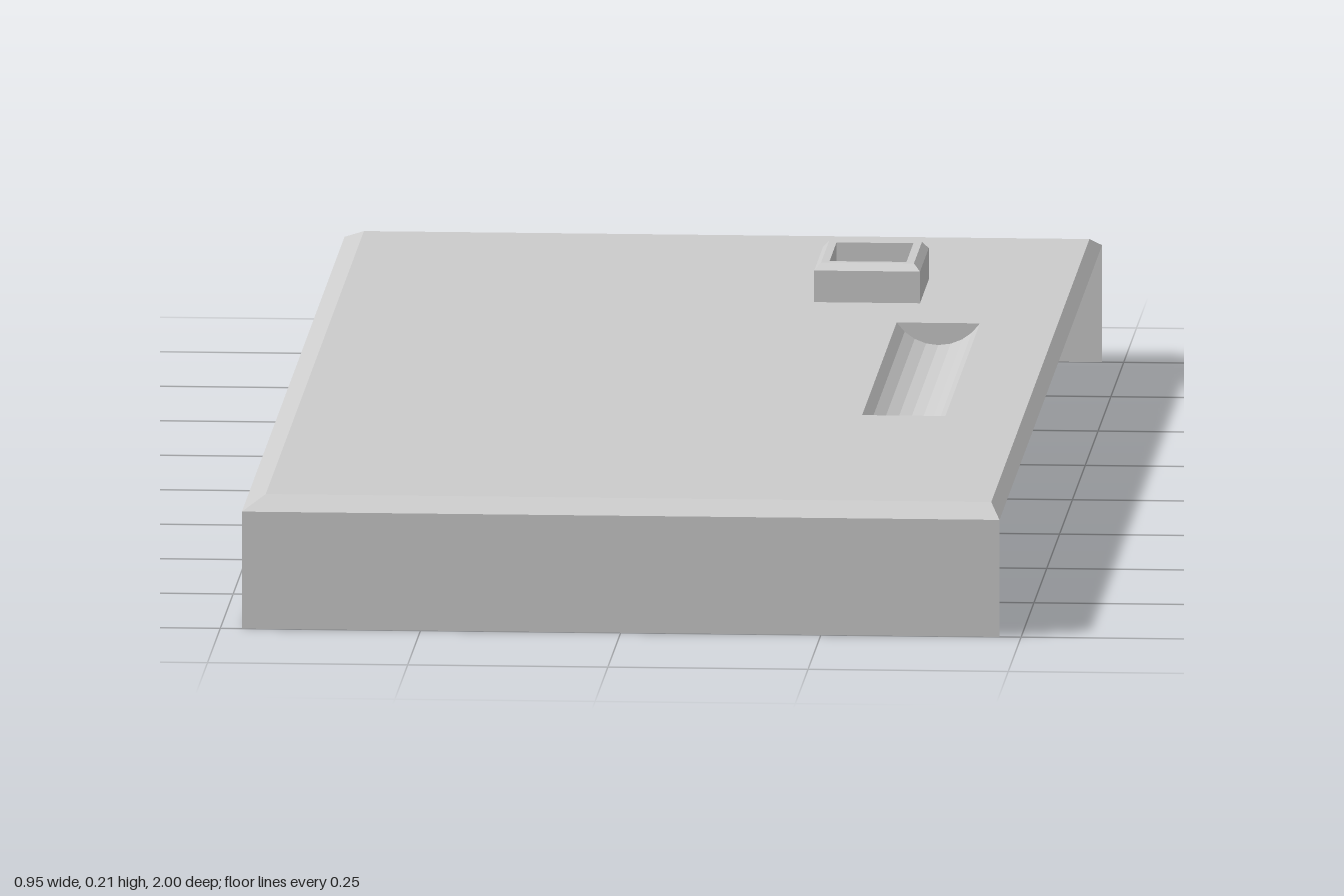
import * as THREE from 'three';

const material = new THREE.MeshStandardMaterial({ color: 0xcccccc, flatShading: true, side: THREE.DoubleSide });

// Rectangle of corners at height y, counter-clockwise from above, starting front
const ring = (x0, x1, z0, z1, y) => [[x0, y, z1], [x1, y, z1], [x1, y, z0], [x0, y, z0]];

// Joins two point rows with quads; skip leaves out one quad
function strip(low, high, { closed = true, skip = -1 } = {}) {
  const positions = [];
  const count = closed ? low.length : low.length - 1;
  for (let i = 0; i < count; i++) {
    if (i === skip) continue;
    const j = (i + 1) % low.length;
    for (const p of [low[i], low[j], high[j], low[i], high[j], high[i]]) positions.push(...p);
  }
  const geometry = new THREE.BufferGeometry();
  geometry.setAttribute('position', new THREE.Float32BufferAttribute(positions, 3));
  geometry.computeVertexNormals();
  return geometry;
}

function add(parent, name, geometry) {
  const mesh = new THREE.Mesh(geometry, material);
  mesh.name = name;
  parent.add(mesh);
  return mesh;
}

export function createModel() {
  const model = new THREE.Group();
  const topY = 0.163;

  // Thin shell: three skirt walls (+x side open) and a bevel all round
  const foot = ring(-0.473, 0.473, -1, 1, 0);
  const shoulder = ring(-0.473, 0.473, -1, 1, 0.148);
  const rim = ring(-0.446, 0.46, -0.957, 0.957, topY);
  add(model, 'skirtWalls', strip(foot, shoulder, { skip: 1 }));
  add(model, 'bevel', strip(shoulder, rim));

  // Top plate with a slot cut for the groove
  const groove = { x: 0.311, half: 0.052, z: 0.337, depth: 0.028 };
  const outline = (x0, x1, z) => [[x0, -z], [x1, -z], [x1, z], [x0, z]].map(p => new THREE.Vector2(...p));
  const plate = new THREE.Shape(outline(-0.446, 0.46, 0.957));
  plate.holes.push(new THREE.Path(outline(groove.x - groove.half, groove.x + groove.half, groove.z).reverse()));
  add(model, 'topPlate', new THREE.ShapeGeometry(plate).rotateX(-Math.PI / 2)).position.y = topY;

  // Sunken groove: shallow arc with flat ends
  const grooveGroup = new THREE.Group();
  grooveGroup.name = 'groove';
  grooveGroup.position.set(groove.x, topY, 0);
  model.add(grooveGroup);
  const radius = (groove.half ** 2 + groove.depth ** 2) / (2 * groove.depth);
  const spread = Math.asin(groove.half / radius);
  const arc = [];
  for (let i = 0; i <= 8; i++) {
    const a = spread * (i / 4 - 1);
    arc.push([radius * Math.sin(a), radius - groove.depth - radius * Math.cos(a)]);
  }
  add(grooveGroup, 'grooveBed', strip(
    arc.map(([x, y]) => [x, y, groove.z]),
    arc.map(([x, y]) => [x, y, -groove.z]), { closed: false }));
  const endShape = new THREE.Shape(arc.map(p => new THREE.Vector2(...p)));
  for (const side of [-1, 1]) {
    const end = add(grooveGroup, 'grooveEnd', new THREE.ShapeGeometry(endShape));
    end.position.z = side * groove.z;
    if (side > 0) end.rotation.y = Math.PI;
  }

  // Raised hollow frame with a chamfered outer edge
  const frame = new THREE.Group();
  frame.name = 'raisedFrame';
  model.add(frame);
  const sections = [[0, topY], [0, 0.203], [0.008, 0.212], [0.018, 0.212], [0.018, topY]]
    .map(([d, y]) => ring(0.147 + d, 0.279 - d, -0.65 + d, -0.478 - d, y));
  const names = ['frameWall', 'frameChamfer', 'frameTop', 'frameInside'];
  names.forEach((name, i) => add(frame, name, strip(sections[i], sections[i + 1])));

  return model;
}
